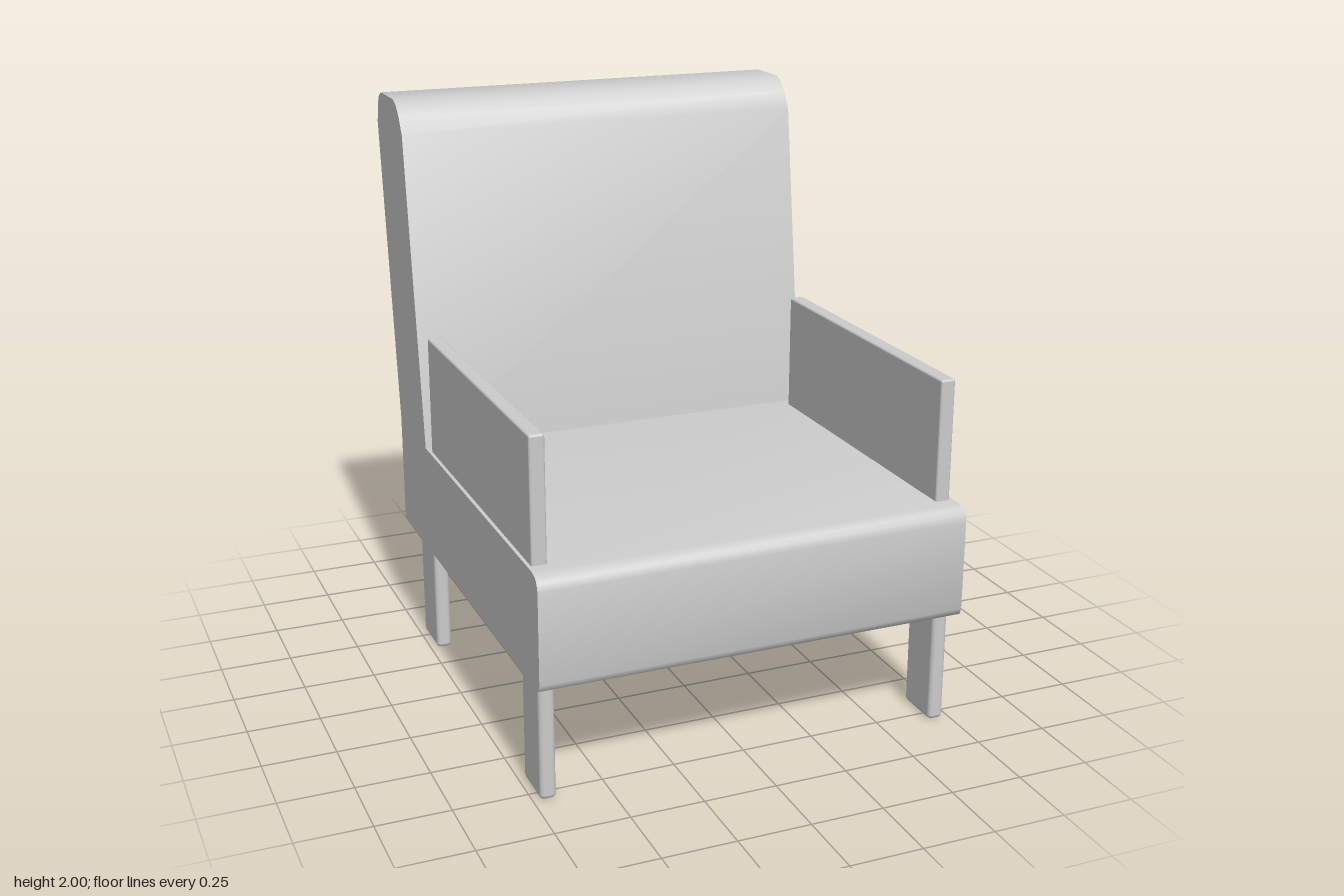
import * as THREE from 'three';
import { toCreasedNormals } from 'three/addons/utils/BufferGeometryUtils.js';
import { RoundedBoxGeometry } from 'three/addons/geometries/RoundedBoxGeometry.js';

const material = new THREE.MeshStandardMaterial({ color: 0xcccccc });

// Softly edged block given by its extents on each axis
function block(name, [x0, x1], [y0, y1], [z0, z1], radius) {
  const geometry = new RoundedBoxGeometry(x1 - x0, y1 - y0, z1 - z0, 2, radius);
  const mesh = new THREE.Mesh(geometry, material);
  mesh.position.set((x0 + x1) / 2, (y0 + y1) / 2, (z0 + z1) / 2);
  mesh.name = name;
  return mesh;
}

export function createModel() {
  const chair = new THREE.Group();
  chair.name = 'armchair';

  // Seat and leaning back: one side profile (z, y) extruded across the width
  const width = 1.484;
  const profile = [
    [-0.71, 0.4], [0.835, 0.4], [0.852, 0.408], [0.86, 0.43],
    [0.862, 0.74], [0.855, 0.767], [0.84, 0.782], [0.81, 0.79],
    [-0.373, 0.79], [-0.52, 1.89], [-0.555, 1.95], [-0.588, 1.986], [-0.625, 2],
    [-0.79, 2], [-0.822, 1.986], [-0.843, 1.95], [-0.858, 1.885], [-0.71, 0.8],
  ].map(([z, y]) => new THREE.Vector2(z, y));
  const bodyGeometry = new THREE.ExtrudeGeometry(new THREE.Shape(profile), {
    depth: width, bevelEnabled: false,
  });
  bodyGeometry.translate(0, 0, -width / 2);
  bodyGeometry.rotateY(-Math.PI / 2);
  const body = new THREE.Mesh(toCreasedNormals(bodyGeometry, 0.8), material);
  body.name = 'seatAndBack';
  chair.add(body);

  // Thin armrest panels and flat legs on both sides
  for (const [side, s] of [['left', 1], ['right', -1]]) {
    const span = (a, b) => (s > 0 ? [a, b] : [-b, -a]);
    chair.add(
      block(`${side}Armrest`, span(0.678, 0.73), [0.76, 1.21], [-0.337, 0.772], 0.008),
      block(`${side}FrontLeg`, span(0.673, 0.727), [0, 0.43], [0.636, 0.805], 0.016),
      block(`${side}RearLeg`, span(0.673, 0.727), [0, 0.43], [-0.553, -0.372], 0.016),
    );
  }
  return chair;
}
